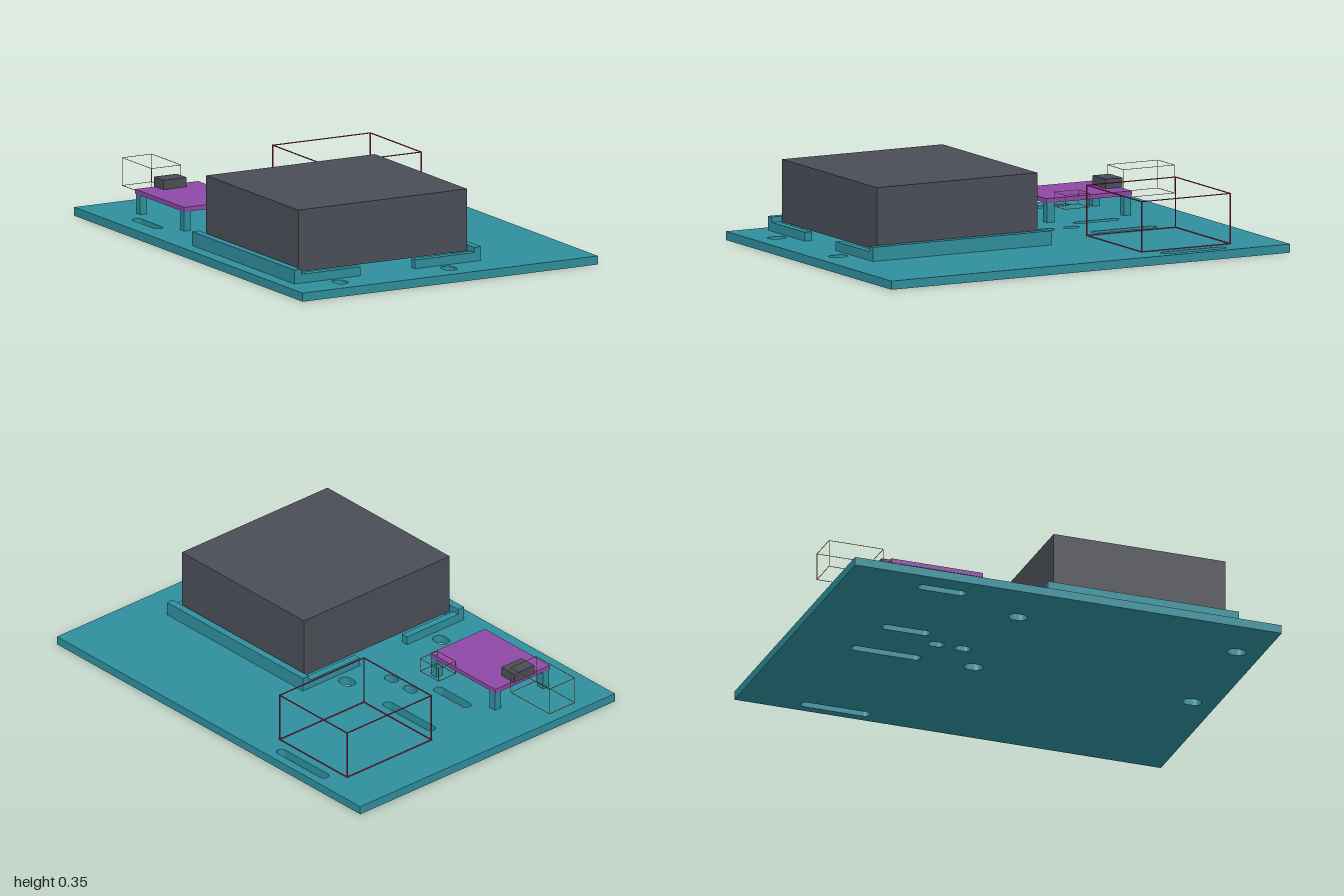
import * as THREE from 'three';

export function createModel() {
  const model = new THREE.Group();
  const mat = (name, color) => {
    const m = new THREE.MeshStandardMaterial({ color });
    m.name = name;
    return m;
  };
  const teal = mat('teal plastic', 0x2f8f9d);
  const dark = mat('dark grey', 0x4a4e57);
  const purple = mat('purple board', 0x8e49a6);
  const crimson = mat('crimson outline', 0xb8234f);
  const orange = mat('orange outline', 0xd08030);

  // Box given by its minimum and maximum on each axis
  const box = (name, material, [x0, x1], [y0, y1], [z0, z1], parent = model) => {
    const mesh = new THREE.Mesh(new THREE.BoxGeometry(x1 - x0, y1 - y0, z1 - z0), material);
    mesh.position.set((x0 + x1) / 2, (y0 + y1) / 2, (z0 + z1) / 2);
    mesh.name = name;
    parent.add(mesh);
    return mesh;
  };

  // Base plate with rounded slots
  const T = 0.038;
  const plate = new THREE.Shape();
  plate.moveTo(-0.738, -1);
  plate.lineTo(0.738, -1);
  plate.lineTo(0.738, 0.975);
  plate.lineTo(-0.738, 0.975);
  plate.closePath();
  const slot = (x, z, width, length) => {
    const r = width / 2, h = length / 2 - r;
    const hole = new THREE.Path();
    hole.absarc(x, -z + h, r, 0, Math.PI, false);
    hole.absarc(x, -z - h, r, Math.PI, Math.PI * 2, false);
    hole.closePath();
    plate.holes.push(hole);
  };
  for (const x of [-0.628, -0.191]) slot(x, -0.531, 0.046, 0.222);
  for (const x of [0.058, 0.676]) slot(x, -0.53, 0.045, 0.32);
  for (const z of [-0.358, -0.235]) slot(-0.101, z, 0.046, 0.072);
  for (const x of [-0.486, 0.059])
    for (const z of [-0.125, 0.887]) slot(x, z, 0.06, 0.085);
  const plateGeo = new THREE.ExtrudeGeometry(plate, { depth: T, bevelEnabled: false, curveSegments: 12 });
  plateGeo.rotateX(-Math.PI / 2);
  const base = new THREE.Mesh(plateGeo, teal);
  base.name = 'basePlate';
  model.add(base);

  // Tray: two tall side rails and four low end lips
  const tray = new THREE.Group();
  tray.name = 'tray';
  model.add(tray);
  box('rightRail', teal, [-0.678, -0.644], [T, 0.1], [-0.06, 0.825], tray);
  box('leftRail', teal, [0.222, 0.256], [T, 0.1], [-0.06, 0.825], tray);
  for (const z of [[-0.06, -0.026], [0.791, 0.825]]) {
    box('rightLip', teal, [-0.644, -0.348], [T, 0.077], z, tray);
    box('leftLip', teal, [-0.074, 0.222], [T, 0.077], z, tray);
  }
  box('powerBlock', dark, [-0.633, 0.211], [0.077, 0.352], [-0.016, 0.78]);

  // Circuit board on four posts, with its socket
  const board = new THREE.Group();
  board.name = 'boardAssembly';
  model.add(board);
  for (const x of [-0.567, -0.287])
    for (const z of [-0.738, -0.358])
      box('boardPost', teal, [x, x + 0.034], [T, 0.124], [z, z + 0.036], board);
  box('circuitBoard', purple, [-0.568, -0.253], [0.124, 0.144], [-0.742, -0.319], board);
  box('socket', dark, [-0.469, -0.353], [0.144, 0.186], [-0.752, -0.668], board);

  // Clearance outline: the twelve edges of a box as thin bars
  const outline = (name, material, x, y, z, t) => {
    const group = new THREE.Group();
    group.name = name;
    model.add(group);
    const ends = ([a, b]) => [[a, a + t], [b - t, b]];
    for (const i of [0, 1])
      for (const j of [0, 1]) {
        box('edgeX', material, [x[0] + t, x[1] - t], ends(y)[i], ends(z)[j], group);
        box('edgeY', material, ends(x)[i], y, ends(z)[j], group);
        box('edgeZ', material, ends(x)[i], ends(y)[j], [z[0] + t, z[1] - t], group);
      }
  };
  outline('moduleOutline', crimson, [0.122, 0.614], [T, 0.262], [-0.75, -0.307], 0.004);
  outline('plugOutline', orange, [-0.484, -0.335], [0.1, 0.225], [-1, -0.747], 0.002);
  outline('cableOutline', orange, [-0.257, -0.157], [0.107, 0.171], [-0.479, -0.358], 0.002);

  return model;
}
